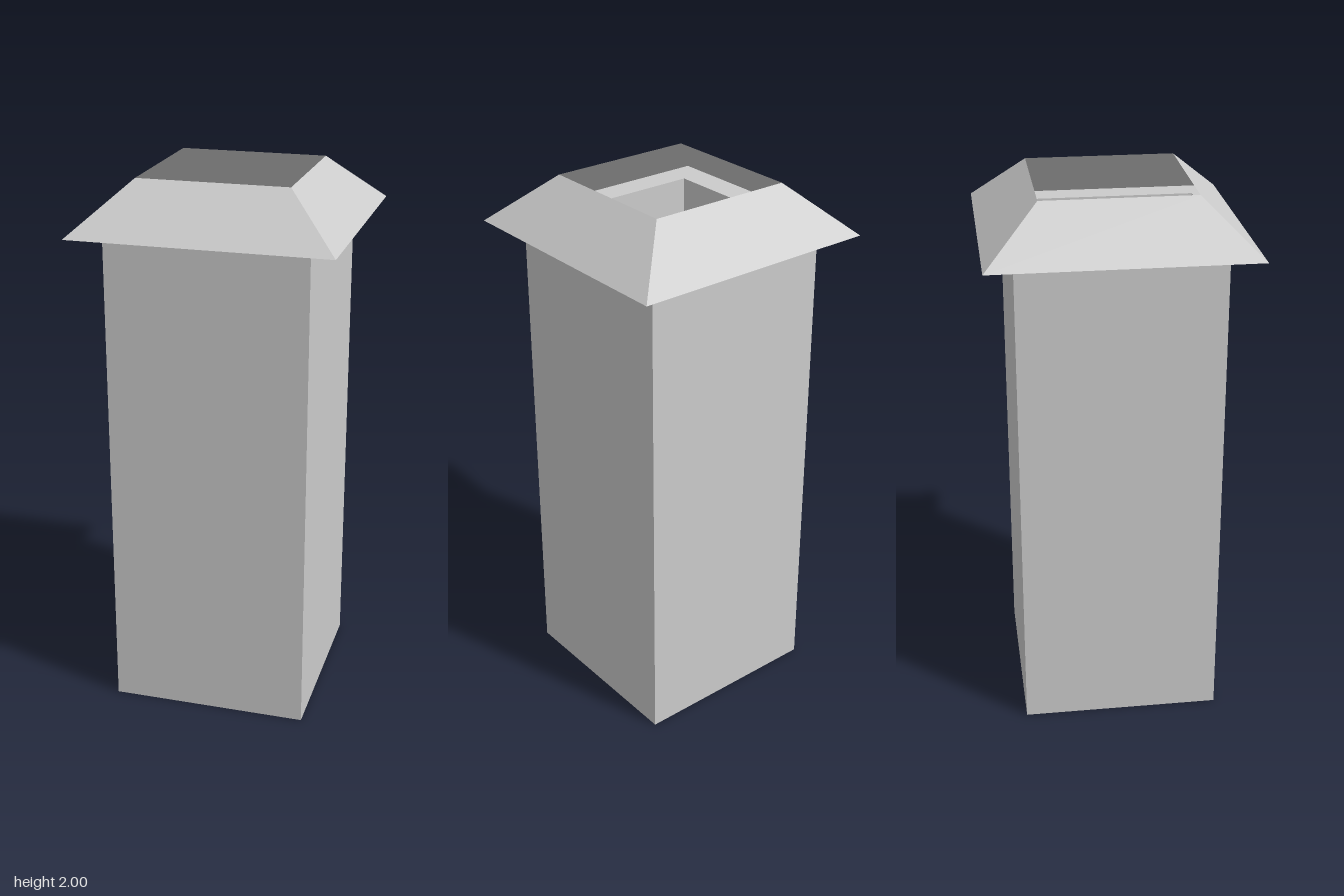
import * as THREE from 'three';

const BODY = 0.364;   // half width of the shaft
const EAVE = 0.468;   // half width of the hood's lower edge
const MOUTH = 0.272;  // half width of the hood's opening
const EAVE_Y = 1.82;
const TOP_Y = 2;

const material = new THREE.MeshStandardMaterial({
  color: 0xcccccc, flatShading: true, side: THREE.DoubleSide,
});

// Turns a half width into the radius of a four-sided shape
const radius = (half) => half * Math.SQRT2;

function addPart(group, name, geometry) {
  const flat = geometry.toNonIndexed();
  flat.computeVertexNormals();
  const mesh = new THREE.Mesh(flat, material);
  mesh.name = name;
  group.add(mesh);
}

// Open four-sided wall between two heights
function squareWall(bottomHalf, topHalf, y0, y1) {
  return new THREE.CylinderGeometry(radius(topHalf), radius(bottomHalf), y1 - y0, 4, 1, true, Math.PI / 4)
    .translate(0, (y0 + y1) / 2, 0);
}

export function createModel() {
  const group = new THREE.Group();
  group.name = 'chimney';

  // Hollow shaft, open at both ends
  addPart(group, 'shaft', squareWall(BODY, BODY, 0, EAVE_Y));

  // Sloping hood with an open mouth
  addPart(group, 'hood', squareWall(EAVE, MOUTH, EAVE_Y, TOP_Y));

  // Flat underside joining the hood to the shaft
  const ledge = new THREE.RingGeometry(radius(BODY), radius(EAVE), 4, 1, Math.PI / 4)
    .rotateX(Math.PI / 2)
    .translate(0, EAVE_Y, 0);
  addPart(group, 'hoodUnderside', ledge);

  return group;
}
